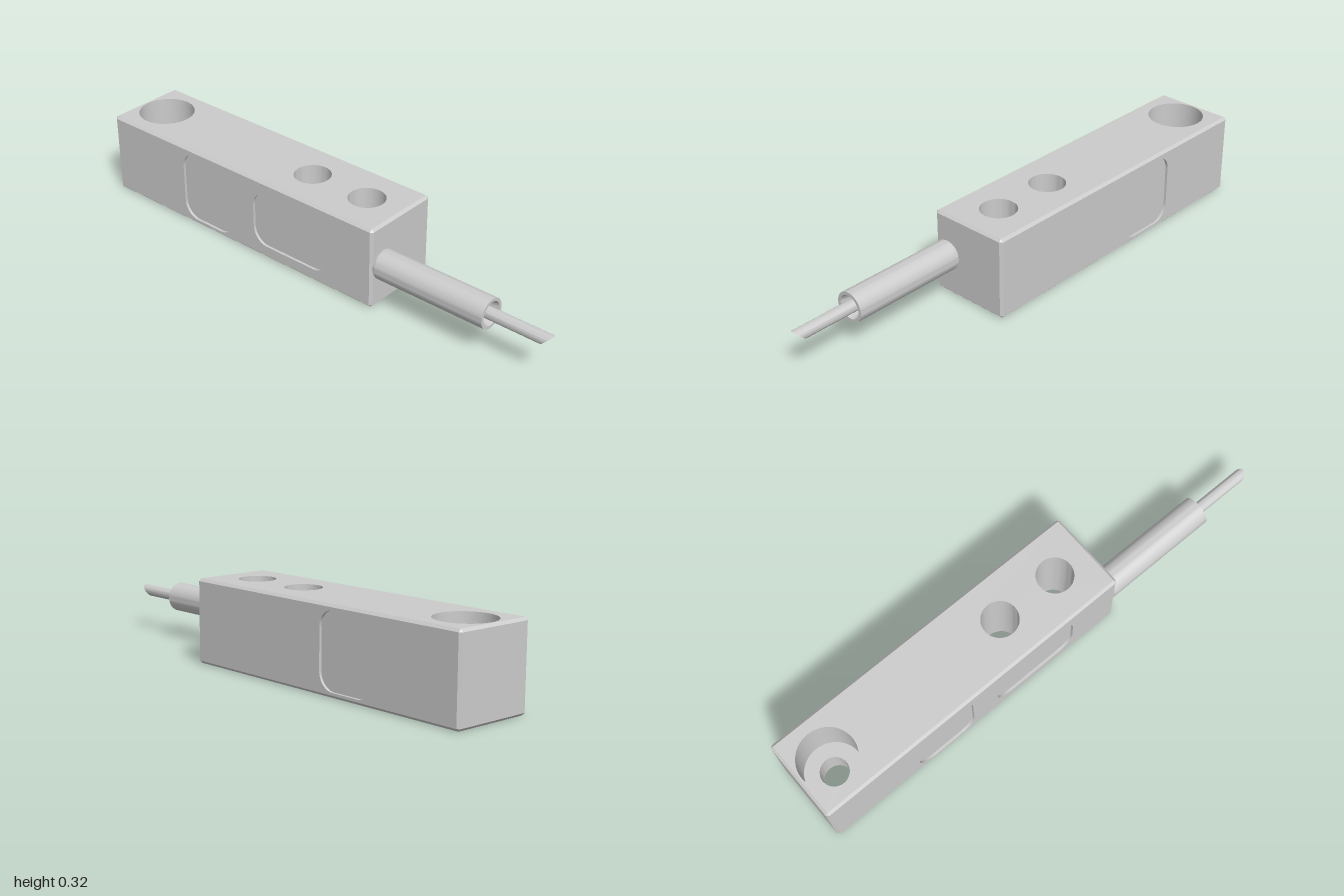
import * as THREE from 'three';
import { toCreasedNormals } from 'three/addons/utils/BufferGeometryUtils.js';

const grey = new THREE.MeshStandardMaterial({ color: 0xcccccc });
const greyBoth = new THREE.MeshStandardMaterial({ color: 0xcccccc, side: THREE.DoubleSide });

// Half sizes of the block, its chamfer and the segments per curve
const H = [0.65, 0.16, 0.16], C = 0.01, SEG = 24;

function add(parent, name, geometry, material = grey) {
  const mesh = new THREE.Mesh(geometry, material);
  mesh.name = name;
  parent.add(mesh);
  return mesh;
}

// Outlines
function circle(x, r) {
  return new THREE.Shape().absarc(x, 0, r, 0, Math.PI * 2, false);
}

function roundedRect(x0, x1, y0, y1, r = 0) {
  const s = new THREE.Shape();
  if (!r) return s.moveTo(x0, y0).lineTo(x1, y0).lineTo(x1, y1).lineTo(x0, y1);
  s.absarc(x1 - r, y0 + r, r, -Math.PI / 2, 0, false);
  s.absarc(x1 - r, y1 - r, r, 0, Math.PI / 2, false);
  s.absarc(x0 + r, y1 - r, r, Math.PI / 2, Math.PI, false);
  s.absarc(x0 + r, y0 + r, r, Math.PI, Math.PI * 1.5, false);
  return s;
}

function flat(outline, holes = []) {
  const s = outline.clone();
  s.holes = holes;
  return new THREE.ShapeGeometry(s, SEG);
}

// Inner wall of a cut, from z = 0 back to z = -depth
function wall(outline, depth) {
  const pts = outline.getPoints(SEG), pos = [];
  pts.forEach((a, i) => {
    const b = pts[(i + 1) % pts.length];
    if (a.distanceTo(b) < 1e-6) return;
    pos.push(a.x, a.y, 0, a.x, a.y, -depth, b.x, b.y, -depth);
    pos.push(a.x, a.y, 0, b.x, b.y, -depth, b.x, b.y, 0);
  });
  const g = new THREE.BufferGeometry();
  g.setAttribute('position', new THREE.Float32BufferAttribute(pos, 3));
  return toCreasedNormals(g, 0.6);
}

// One side of the block, lying in its own xy plane with its cuts
function side(parent, name, halfW, halfH, dist, rx, ry, cuts = []) {
  const g = new THREE.Group();
  g.name = name;
  add(g, name + 'Face', flat(
    roundedRect(-halfW + C, halfW - C, -halfH + C, halfH - C), cuts.map(c => c.outline)));
  for (const c of cuts) {
    add(g, c.name + 'Wall', wall(c.outline, c.depth), greyBoth);
    if (c.floor) add(g, c.name + 'Floor', flat(c.outline, c.inner ? [c.inner] : [])).position.z = -c.depth;
  }
  g.rotation.set(rx, ry, 0);
  g.position.set(0, 0, dist).applyEuler(g.rotation);
  parent.add(g);
}

// Chamfer strips on the twelve edges and triangles on the eight corners
function chamfers() {
  const pos = [];
  const tri = (a, b, c) => {
    const n = b.clone().sub(a).cross(c.clone().sub(a));
    const mid = a.clone().add(b).add(c);
    (n.dot(mid) > 0 ? [a, b, c] : [a, c, b]).forEach(v => pos.push(v.x, v.y, v.z));
  };
  // Corner point lying on the face across the given axis
  const corner = (signs, axis) =>
    new THREE.Vector3(...signs.map((s, i) => s * (H[i] - (i === axis ? 0 : C))));
  for (const s of [-1, 1]) for (const t of [-1, 1]) {
    for (let k = 0; k < 3; k++) {
      const i = (k + 1) % 3, j = (k + 2) % 3;
      const p = [], q = [];
      p[k] = -1; q[k] = 1; p[i] = q[i] = s; p[j] = q[j] = t;
      const a = corner(p, i), b = corner(q, i), c = corner(q, j), d = corner(p, j);
      tri(a, b, c);
      tri(a, c, d);
    }
    for (const u of [-1, 1]) tri(...[0, 1, 2].map(k => corner([s, t, u], k)));
  }
  const g = new THREE.BufferGeometry();
  g.setAttribute('position', new THREE.Float32BufferAttribute(pos, 3));
  g.computeVertexNormals();
  return g;
}

export function createModel() {
  const model = new THREE.Group();
  model.name = 'loadCell';

  // Block, centred on its own origin
  const block = new THREE.Group();
  block.name = 'block';
  block.position.set(-0.35, 0.16, 0);
  model.add(block);
  add(block, 'chamfers', chamfers());

  // Vertical bores: one counterbored at the far end, two plain ones near the cable
  const [hx, hy, hz] = H, boreDepth = 0.2, endX = -0.525;
  const plain = [0.24, 0.495].map(x => circle(x, 0.069));
  const small = circle(endX, 0.053);
  side(block, 'top', hx, hz, hy, -Math.PI / 2, 0, [
    { name: 'counterbore', outline: circle(endX, 0.108), depth: boreDepth, floor: true, inner: small },
    ...plain.map(outline => ({ name: 'mountingHole', outline, depth: 2 * hy })),
  ]);
  side(block, 'bottom', hx, hz, hy, Math.PI / 2, 0, [
    { name: 'endHole', outline: small, depth: 2 * hy - boreDepth },
    ...plain.map(outline => ({ name: 'mountingHole', outline, depth: 0 })),
  ].map(c => ({ ...c, depth: c.depth || 0.001 })));

  // Shallow side pockets: a tall one on both sides, a lower one on the front
  const pocket = (x0, x1, h) => ({
    name: 'pocket', outline: roundedRect(x0, x1, -h, h, 0.065), depth: 0.01, floor: true,
  });
  side(block, 'front', hx, hy, hz, 0, 0, [pocket(-0.272, -0.02, 0.14), pocket(0.09, 0.445, 0.11)]);
  side(block, 'back', hx, hy, hz, 0, Math.PI, [pocket(0.02, 0.272, 0.14)]);
  side(block, 'leftEnd', hz, hy, hx, 0, Math.PI / 2);
  side(block, 'rightEnd', hz, hy, hx, 0, -Math.PI / 2);

  // Cable outlet, running along x from the end of the block
  const outlet = new THREE.Group();
  outlet.name = 'cableOutlet';
  outlet.position.set(0, 0.162, 0.1);
  model.add(outlet);

  // Sleeve with a conical mouth
  const profile = [
    [0.053, 0.295], [0.053, 0.302], [0.057, 0.306], [0.057, 0.76],
    [0.045, 0.76], [0.027, 0.69], [0, 0.69],
  ].map(p => new THREE.Vector2(...p));
  const sleeve = new THREE.LatheGeometry(profile, 48).rotateZ(-Math.PI / 2);
  add(outlet, 'sleeve', toCreasedNormals(sleeve, 0.4));

  // Cable with its end cut at 45 degrees
  const r = 0.0225, start = 0.65;
  const cable = new THREE.CylinderGeometry(r, r, 1, 32).rotateZ(-Math.PI / 2);
  const p = cable.attributes.position;
  for (let i = 0; i < p.count; i++) p.setX(i, p.getX(i) < 0 ? start : 1 - r + p.getY(i));
  add(outlet, 'cable', toCreasedNormals(cable, 0.5));

  return model;
}
